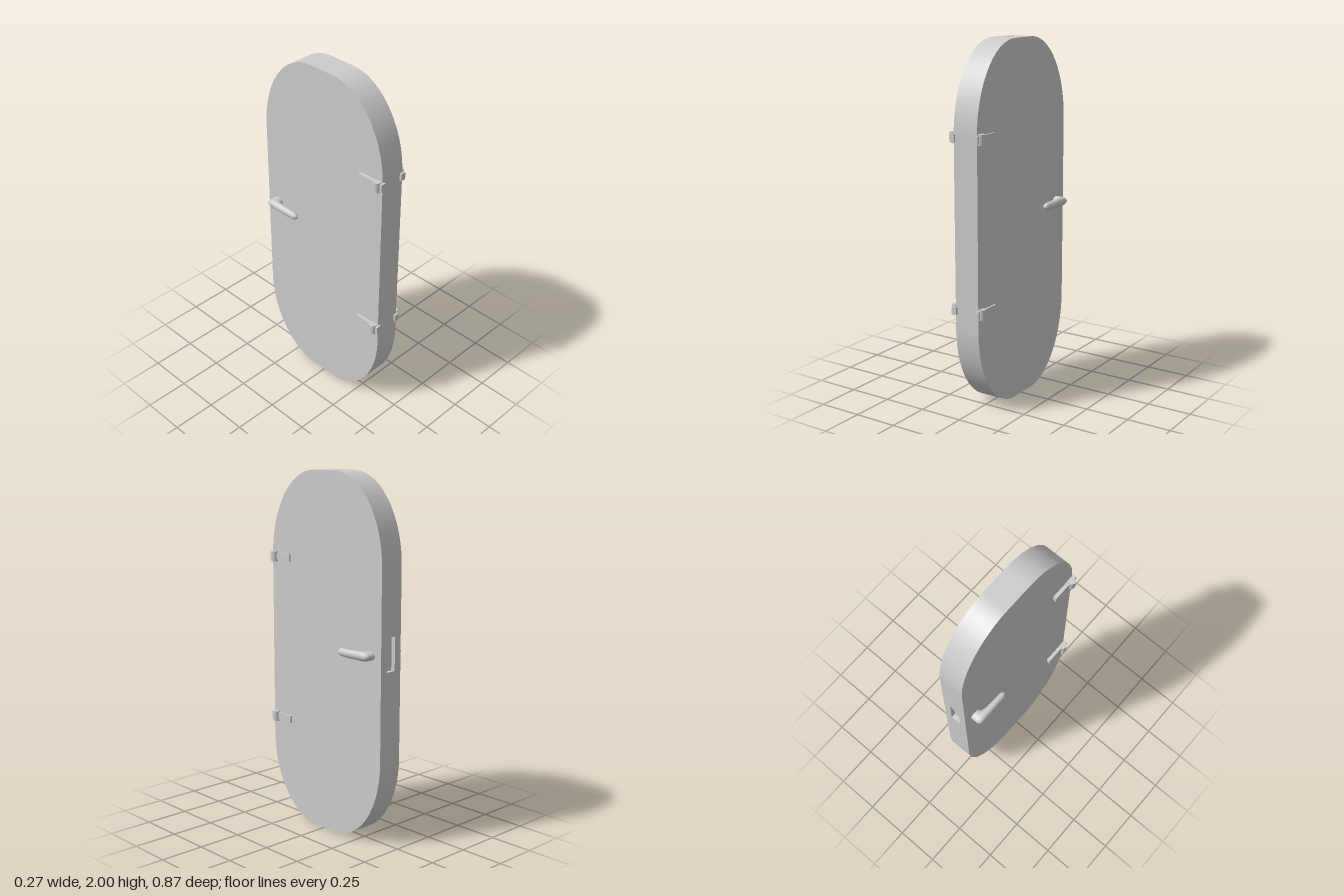
import * as THREE from 'three';
import { toCreasedNormals } from 'three/addons/utils/BufferGeometryUtils.js';

const material = new THREE.MeshStandardMaterial({ color: 0xcccccc });
const HALF = 0.073;                       // half the door thickness
const FRONT = -0.42, BACK = 0.435;        // outline runs along u = -z
const RZ = 0.35, RY = 0.48;               // corner radii
const SLOT = { half: 0.03, low: 0.97, high: 1.155, depth: 0.025 };

function add(parent, name, geometry, x = 0, y = 0, z = 0) {
  const mesh = new THREE.Mesh(geometry, material);
  mesh.name = name;
  mesh.position.set(x, y, z);
  parent.add(mesh);
  return mesh;
}

// Door outline with elliptical corners, optionally notched at the latch edge
function doorOutline(notched) {
  const s = new THREE.Shape();
  s.moveTo(BACK, RY);
  if (notched) {
    s.lineTo(BACK, SLOT.low);
    s.lineTo(BACK - SLOT.depth, SLOT.low);
    s.lineTo(BACK - SLOT.depth, SLOT.high);
    s.lineTo(BACK, SLOT.high);
  }
  s.lineTo(BACK, 2 - RY);
  s.absellipse(BACK - RZ, 2 - RY, RZ, RY, 0, Math.PI / 2);
  s.absellipse(FRONT + RZ, 2 - RY, RZ, RY, Math.PI / 2, Math.PI);
  s.absellipse(FRONT + RZ, RY, RZ, RY, Math.PI, Math.PI * 1.5);
  s.absellipse(BACK - RZ, RY, RZ, RY, Math.PI * 1.5, Math.PI * 2);
  return s;
}

function doorLayer(x0, x1, notched) {
  const g = new THREE.ExtrudeGeometry(doorOutline(notched), {
    depth: x1 - x0, bevelEnabled: false, curveSegments: 28,
  });
  g.translate(0, 0, x0);
  g.rotateY(Math.PI / 2);
  return toCreasedNormals(g, 0.5);
}

// Lever handle lofted through oval sections: outer x, z, inner x, z, half height
function handleGeometry() {
  const sections = [
    [0.05, -0.39, 0.05, -0.325, 0.024],
    [0.085, -0.39, 0.083, -0.325, 0.024],
    [0.115, -0.39, 0.088, -0.315, 0.025],
    [0.13, -0.385, 0.093, -0.3, 0.025],
    [0.137, -0.37, 0.095, -0.28, 0.025],
    [0.137, -0.33, 0.096, -0.26, 0.024],
    [0.137, -0.25, 0.098, -0.23, 0.023],
    [0.136, -0.19, 0.098, -0.19, 0.022],
    [0.132, -0.174, 0.102, -0.174, 0.018],
    [0.125, -0.166, 0.109, -0.166, 0.01],
    [0.117, -0.163, 0.117, -0.163, 0],
  ];
  const N = 20, pos = [], idx = [];
  for (const [ox, oz, ix, iz, h] of sections) {
    for (let j = 0; j < N; j++) {
      const a = (j / N) * Math.PI * 2, t = (1 - Math.cos(a)) / 2;
      pos.push(ox + (ix - ox) * t, h * Math.sin(a), oz + (iz - oz) * t);
    }
  }
  for (let i = 0; i < sections.length - 1; i++) {
    for (let j = 0; j < N; j++) {
      const a = i * N + j, b = i * N + (j + 1) % N;
      idx.push(a, a + N, b, b, a + N, b + N);
    }
  }
  const g = new THREE.BufferGeometry();
  g.setAttribute('position', new THREE.Float32BufferAttribute(pos, 3));
  g.setIndex(idx);
  g.computeVertexNormals();
  // Make sure the faces point outwards (the grip's top must face up)
  const k = 6 * N + N / 4;
  if (g.attributes.normal.getY(k) < 0) {
    g.setIndex(idx.reverse());
    g.computeVertexNormals();
  }
  return g;
}

export function createModel() {
  const model = new THREE.Group();
  model.name = 'door';

  // Door leaf: three layers, the middle one holding the latch recess
  const leaf = new THREE.Group();
  leaf.name = 'doorLeaf';
  model.add(leaf);
  add(leaf, 'rightSkin', doorLayer(-HALF, -SLOT.half, false));
  add(leaf, 'latchCore', doorLayer(-SLOT.half, SLOT.half, true));
  add(leaf, 'leftSkin', doorLayer(SLOT.half, HALF, false));

  // Lever handles on both faces
  const lever = handleGeometry();
  add(model, 'leftHandle', lever, 0, 1.055, 0);
  add(model, 'rightHandle', lever, 0, 1.055, 0).rotation.z = Math.PI;

  // Hinges: a strap and an upright knuckle on each face
  const strap = new THREE.BoxGeometry(0.029, 0.042, 0.162);
  const knuckle = new THREE.CylinderGeometry(0.021, 0.021, 0.056, 24);
  for (const y of [0.58, 1.51]) {
    for (const [side, strapX, knuckleX] of [['left', 0.069, 0.081], ['right', -0.078, -0.09]]) {
      const hinge = new THREE.Group();
      hinge.name = side + 'Hinge';
      hinge.position.y = y;
      add(hinge, 'strap', strap, strapX, 0, 0.351);
      add(hinge, 'knuckle', knuckle, knuckleX, 0, 0.397);
      model.add(hinge);
    }
  }
  return model;
}
